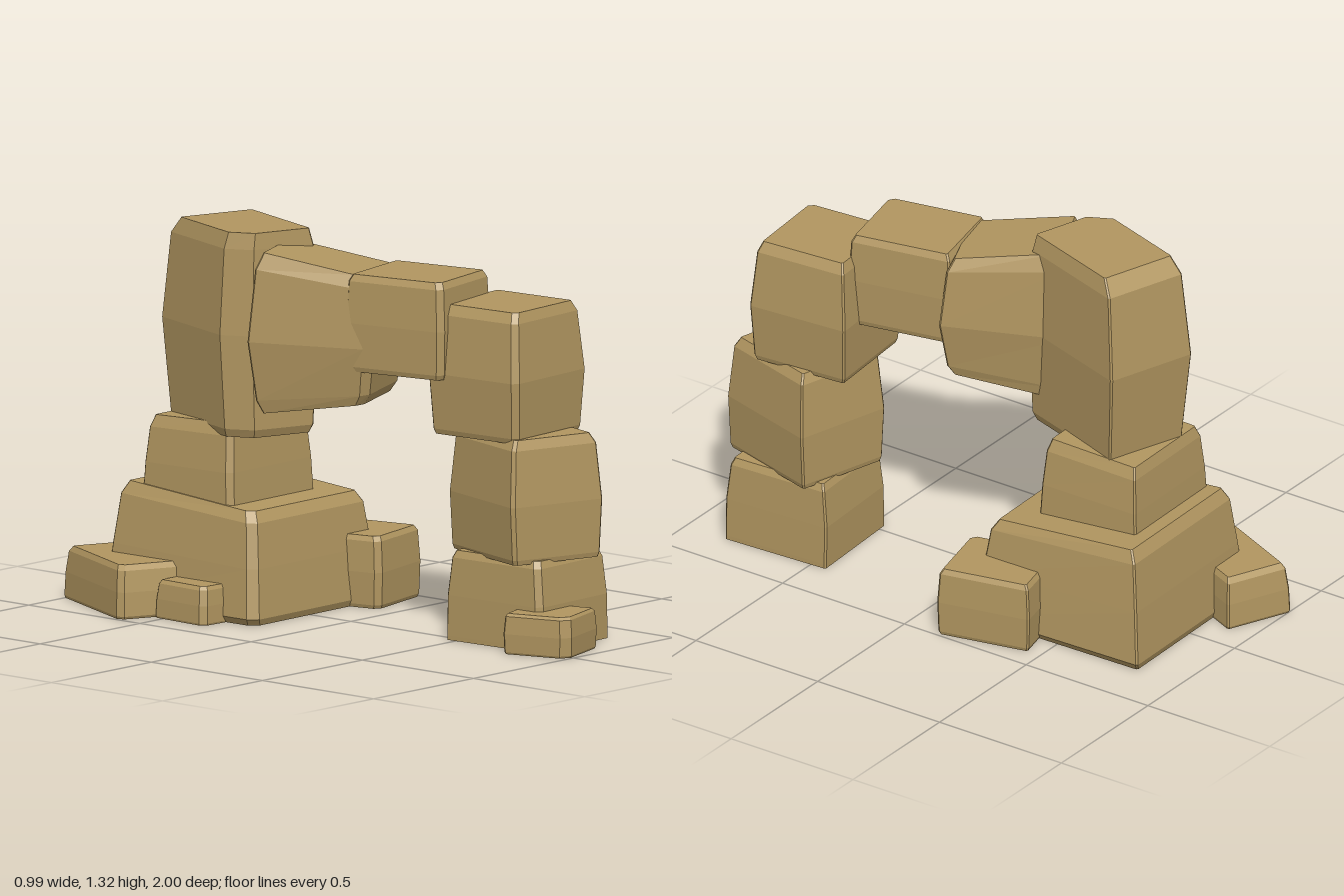
import * as THREE from 'three';

// Double-sided because the ground stones are open underneath
const stone = new THREE.MeshStandardMaterial({ color: 0xb19660, flatShading: true, side: THREE.DoubleSide });
stone.name = 'sandstone';

// Ring profiles: [height fraction, width scale, depth scale, optional z shift]
const BULGE = [[0, 0.9, 0.92], [0.04, 0.93, 0.95], [0.47, 1, 1], [0.92, 0.9, 0.91], [1, 0.8, 0.84]];
const BLOCK = [[0, 0.95, 0.95], [0.05, 0.98, 0.98], [0.5, 1, 1], [0.93, 0.96, 0.96], [1, 0.89, 0.9]];
const FOOT = [[0, 0.98, 0.98], [0.05, 1, 1], [0.5, 0.98, 0.98], [0.9, 0.92, 0.93], [1, 0.84, 0.86]];

// Stone made of eight-corner rings. Only the -x +z corner is broadly chamfered.
// tilt raises the +z end of the top; low raises the +z end of the bottom.
function rock(name, [cx, cz], [y0, y1], [w, d], yaw, rings, { tilt = 0, low = 0, cut = 0.02, open = false } = {}) {
  const hw = w / 2, hd = d / 2, e = 0.006;
  const outline = [
    [hw, hd - e], [hw - e, hd], [-hw + cut, hd], [-hw, hd - cut],
    [-hw, -hd + e], [-hw + e, -hd], [hw - e, -hd], [hw, -hd + e],
  ];
  const n = outline.length, pos = [], index = [];
  for (const [t, sx, sz, dz = 0] of rings) {
    for (const [x, z] of outline) {
      const slope = (z / hd) * (tilt * t + low * (1 - t));
      pos.push(x * sx, y0 + (y1 - y0) * t + slope, z * sz + dz);
    }
  }
  for (let r = 0; r < rings.length - 1; r++) {
    for (let i = 0; i < n; i++) {
      const a = r * n + i, b = r * n + (i + 1) % n;
      index.push(a, a + n, b, b, a + n, b + n);
    }
  }
  const top = (rings.length - 1) * n;
  for (let i = 1; i < n - 1; i++) {
    index.push(top, top + i + 1, top + i);
    if (!open) index.push(0, i, i + 1);
  }
  const geo = new THREE.BufferGeometry();
  geo.setAttribute('position', new THREE.Float32BufferAttribute(pos, 3));
  geo.setIndex(index);
  const flat = geo.toNonIndexed();
  flat.computeVertexNormals();
  const mesh = new THREE.Mesh(flat, stone);
  mesh.name = name;
  mesh.position.set(cx, 0, cz);
  mesh.rotation.y = yaw;
  return mesh;
}

function group(name, ...parts) {
  const g = new THREE.Group();
  g.name = name;
  g.add(...parts);
  return g;
}

export function createModel() {
  // Slim pillar at the front
  const frontPillar = group('frontPillar',
    rock('frontBase', [0.16, 0.65], [0, 0.305], [0.37, 0.4], 0.05,
      [[0, 1, 1], [0.05, 1, 1], [0.5, 0.98, 1], [0.92, 0.94, 0.93], [1, 0.88, 0.88]], { open: true }),
    rock('frontPebble', [0.042, 0.858], [0, 0.138], [0.235, 0.24], 0.3, BLOCK, { cut: 0.03, open: true }),
    rock('frontMiddleStone', [0.153, 0.65], [0.295, 0.715], [0.358, 0.4], -0.28,
      [[0, 0.92, 0.97], [0.04, 0.95, 0.99], [0.47, 1, 1], [0.92, 0.92, 0.92], [1, 0.82, 0.84]], { cut: 0.012 }),
    rock('frontTopStone', [0.135, 0.58], [0.7, 1.142], [0.385, 0.37], 0.08, BULGE));

  // Stones spanning the arch
  const bridge = group('bridge',
    rock('bridgeStone', [0.03, 0.275], [0.89, 1.22], [0.325, 0.375], 0.2, BLOCK),
    rock('bridgeWedge', [-0.06, -0.055], [0.748, 1.24], [0.355, 0.44], 0.39,
      [[0, 0.8, 0.8], [0.08, 0.86, 0.9], [0.45, 1, 1], [0.9, 0.91, 0.9], [1, 0.78, 0.8]],
      { tilt: -0.03, low: 0.025, cut: 0.03 }));

  // Heavy pillar at the back
  const backPillar = group('backPillar',
    rock('backTopStone', [-0.06, -0.445], [0.62, 1.317], [0.335, 0.475], -0.32,
      [[0, 0.84, 0.88, 0.015], [0.04, 0.9, 0.93, 0.015], [0.5, 1, 1], [0.92, 0.91, 0.92, 0.015], [1, 0.82, 0.82, 0.035]],
      { cut: 0.08 }),
    rock('backNeck', [-0.035, -0.52], [0.385, 0.655], [0.43, 0.39], 0.02,
      [[0, 1, 1], [0.4, 0.98, 0.97], [0.85, 0.92, 0.92], [1, 0.84, 0.86]], { tilt: 0.005 }),
    rock('backBase', [0.013, -0.5], [0, 0.4], [0.645, 0.655], 0.02,
      [[0, 0.95, 0.97], [0.06, 1, 1], [0.5, 0.95, 0.95], [0.9, 0.89, 0.89], [1, 0.83, 0.82]],
      { tilt: -0.022, open: true, cut: 0.03 }));

  // Loose boulders around the back pillar
  const boulders = group('boulders',
    rock('leftBoulder', [0.322, -0.263], [0, 0.245], [0.285, 0.335], 0.22, BLOCK, { open: true }),
    rock('rearBoulder', [-0.297, -0.75], [0, 0.18], [0.245, 0.455], -0.42, FOOT, { open: true }),
    rock('rightPebble', [-0.288, -0.415], [0, 0.13], [0.21, 0.23], -0.05, FOOT, { open: true }));

  return group('rockArch', frontPillar, bridge, backPillar, boulders);
}
